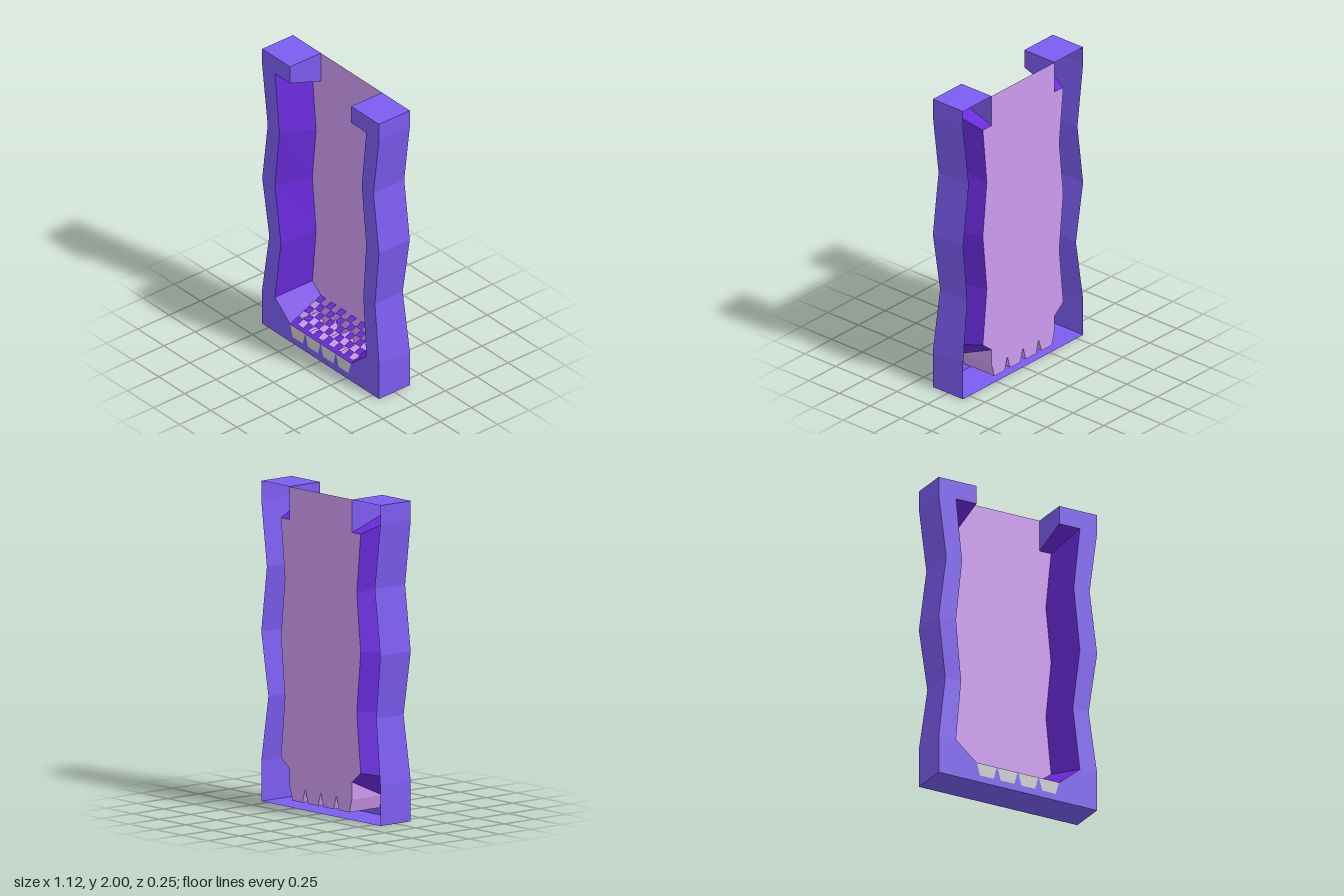
import * as THREE from 'three';
import { mergeGeometries } from 'three/addons/utils/BufferGeometryUtils.js';

const D = 0.123;                       // half depth
const SLOT = 0.293;                    // half width of the top slot and the toothed tray
const SILL = 0.127, RISE = 0.237;      // tray top at the front and at the back
const TOOTH_Y = 0.045, TEETH = 4;

const mat = (color) => new THREE.MeshStandardMaterial({ color, flatShading: true, side: THREE.DoubleSide });

// Ruled strip between two matching rows of [x, y, z] points
function strip(a, b) {
  const pos = [];
  for (let i = 0; i < a.length - 1; i++) {
    pos.push(...a[i], ...b[i], ...b[i + 1], ...a[i], ...b[i + 1], ...a[i + 1]);
  }
  const g = new THREE.BufferGeometry();
  g.setAttribute('position', new THREE.Float32BufferAttribute(pos, 3));
  g.computeVertexNormals();
  return g;
}

// Flat polygon facing +z at depth z
function plate(points, z) {
  const shape = new THREE.Shape(points.map(([x, y]) => new THREE.Vector2(x, y)));
  const g = new THREE.ShapeGeometry(shape).toNonIndexed();
  g.deleteAttribute('uv');
  return g.translate(0, 0, z);
}

const mirrorRow = (row, s) => row.map(([x, y, z]) => [x * s, y, z]);
const mirrorOutline = (half) => [...half, ...half.map(([x, y]) => [-x, y]).reverse()];

export function createModel() {
  const group = new THREE.Group();
  const shellMat = mat(0x7b5cf0), wallMat = mat(0x6a2bdc), panelMat = mat(0xcc9af0), greyMat = mat(0xcccccc);
  const add = (name, parts, material) => {
    const mesh = new THREE.Mesh(mergeGeometries(parts), material);
    mesh.name = name;
    group.add(mesh);
  };

  // Zigzag outlines of one side, top to bottom
  const waist = (y) => (y === 0.66 ? 0.9 : 1);   // slightly thinner at the lower waist
  const at = (pts, z) => pts.map(([x, y]) => [x, y, z * waist(y)]);
  const outer = [[0.56, 1.88], [0.507, 1.47], [0.56, 1.06], [0.507, 0.66], [0.56, 0.25]];
  const rim = [[0.438, 1.88], [0.395, 1.47], [0.438, 1.06], [0.395, 0.66], [0.438, 0.25]];
  const inner = [[0.375, 1.795], [0.338, 1.42], [0.375, 1.057], [0.338, 0.68], [0.375, 0.302]];
  const fullOuter = [[0.56, 2], ...outer, [0.56, 0]];

  // Tooth profile across the tray
  const w = (2 * SLOT) / TEETH;
  const teeth = [];
  for (let i = 0; i < TEETH; i++) {
    const x0 = -SLOT + i * w + 0.002, x1 = x0 + w - 0.004;
    teeth.push([[x0, SILL], [x0 + 0.023, TOOTH_Y], [x1 - 0.023, TOOTH_Y], [x1, SILL]]);
  }
  const toothLine = teeth.flat();

  const shell = [], walls = [], trayEnds = [];
  for (const s of [1, -1]) {
    const row = (pts, z) => mirrorRow(at(pts, z), s);
    // outer side, front border, top tab
    shell.push(strip(row(fullOuter, D), row(fullOuter, -D)));
    shell.push(strip(row(rim, D), row(outer, D)));
    shell.push(strip(row([[SLOT, 2], [SLOT, 1.88]], D), row([[0.56, 2], [0.56, 1.88]], D)));
    shell.push(strip(row([[SLOT, 2], [0.56, 2]], D), row([[SLOT, 2], [0.56, 2]], -D)));
    shell.push(strip(row([[SLOT, 2], [SLOT, 1.88]], D), row([[SLOT, 2], [SLOT, 1.795]], -D)));
    // slanted lining: tab underside, side wall, lower corner
    walls.push(strip(
      row([[SLOT, 1.88], ...rim, [SLOT, SILL]], D),
      row([[SLOT, 1.795], ...inner, [SLOT, RISE]], -D)));
    // triangular end of the tray
    trayEnds.push(strip(
      [[s * SLOT, SILL, D], [s * SLOT, SILL, -D]],
      [[s * SLOT, SILL, D], [s * SLOT, RISE, -D]]));
  }
  // front apron with the tooth cut-outs, and the base
  shell.push(plate([
    [-0.56, 0], [0.56, 0], [0.56, 0.25], [0.438, 0.25], [SLOT, SILL],
    ...[...toothLine].reverse(), [-SLOT, SILL], [-0.438, 0.25], [-0.56, 0.25]], D));
  shell.push(strip([[-0.56, 0, D], [0.56, 0, D]], [[-0.56, 0, -D], [0.56, 0, -D]]));
  add('outerFrame', shell, shellMat);
  add('slantedLining', walls, wallMat);

  // Back panel rising through the top slot
  add('backPanel', [plate(mirrorOutline(
    [[SLOT, 2], [SLOT, 1.795], ...inner, [SLOT, RISE]]), -D)], panelMat);

  // Toothed tray: back, ends and channels running front to back
  const channels = teeth.map((t) => strip(
    t.map(([x, y]) => [x, y, D]), t.map(([x, y]) => [x, y, -D])));
  const trayBack = plate([[-SLOT, RISE], [-SLOT, SILL], ...toothLine, [SLOT, SILL], [SLOT, RISE]], -D);
  add('toothedTray', [trayBack, ...trayEnds, ...channels], panelMat);
  add('teethFronts', teeth.map((t) => plate(t, D)), greyMat);

  // Sloping checkered grate over the tray
  const tiles = [];
  const slopeY = (z) => SILL + ((D - z) / (2 * D)) * (RISE - SILL);
  const tile = (x0, x1, z0, z1) => tiles.push(strip(
    [[x0, slopeY(z1), z1], [x1, slopeY(z1), z1]],
    [[x0, slopeY(z0), z0], [x1, slopeY(z0), z0]]));
  const cols = 12, rows = 5, tw = (2 * SLOT) / cols, td = 0.0446;
  for (let r = 0; r < rows; r++) {
    for (let c = r % 2; c < cols; c += 2) {
      tile(-SLOT + c * tw, -SLOT + (c + 1) * tw, -D + r * td, -D + (r + 1) * td);
    }
  }
  tile(-SLOT, SLOT, -D + rows * td, D);
  add('checkeredGrate', tiles, wallMat);

  return group;
}
